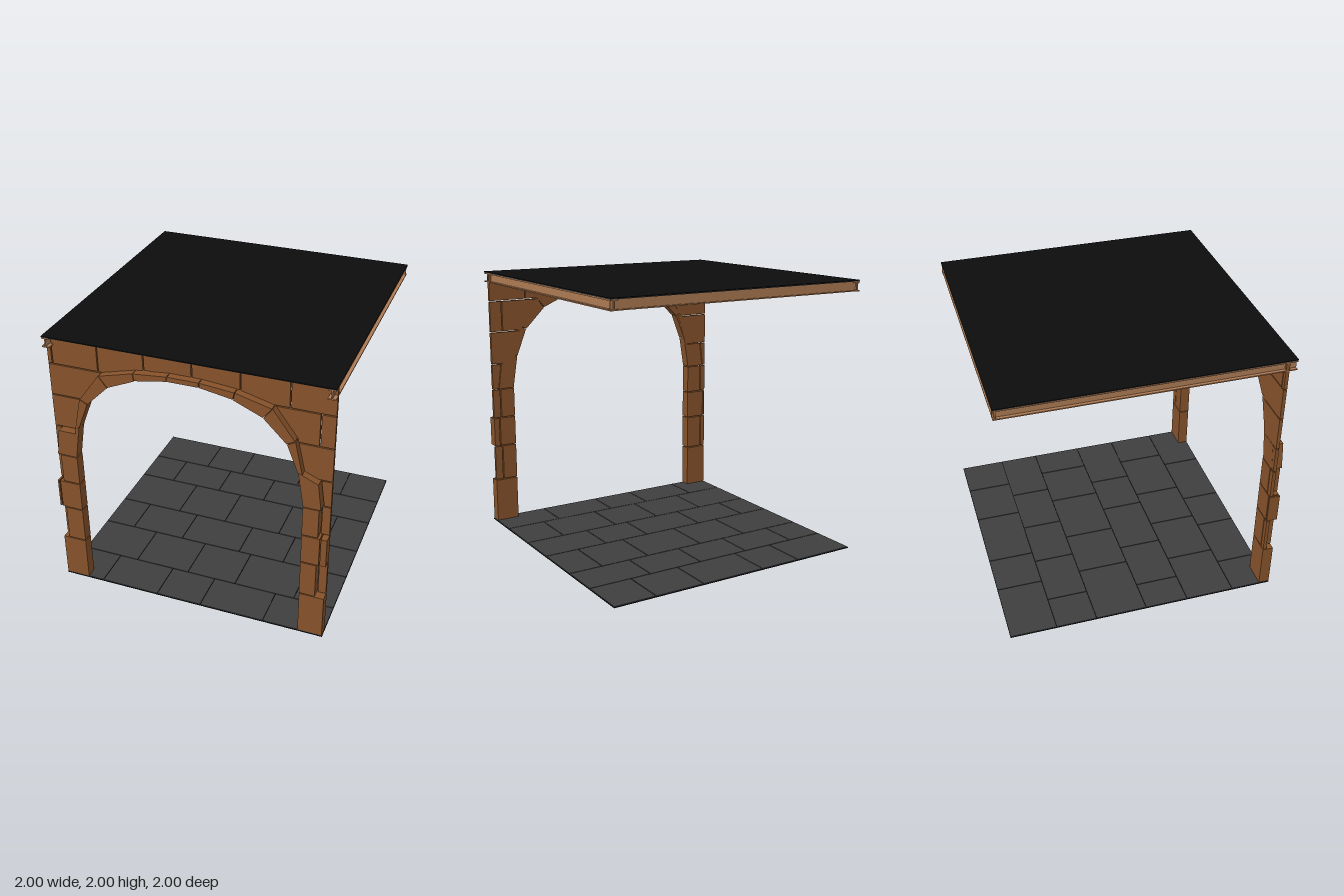
import * as THREE from 'three';

const mat = (name, color) => {
  const m = new THREE.MeshStandardMaterial({ color });
  m.name = name;
  return m;
};

export function createModel() {
  const stoneBrown = mat('stoneBrown', 0x87532b);
  const beamTan = mat('beamTan', 0xad7a53);
  const tileGrey = mat('tileGrey', 0x3f3f3f);
  const slabBlack = mat('slabBlack', 0x0d0d0d);
  const model = new THREE.Group();
  model.name = 'archBay';

  const group = (name) => {
    const g = new THREE.Group();
    g.name = name;
    model.add(g);
    return g;
  };
  const box = (parent, name, m, x0, x1, y0, y1, z0, z1) => {
    const mesh = new THREE.Mesh(new THREE.BoxGeometry(x1 - x0, y1 - y0, z1 - z0), m);
    mesh.position.set((x0 + x1) / 2, (y0 + y1) / 2, (z0 + z1) / 2);
    mesh.name = name;
    parent.add(mesh);
  };
  // Prism from an outline in x and y, running from z0 to z1
  const prism = (parent, name, m, pts, z0, z1) => {
    const shape = new THREE.Shape(pts.map(([x, y]) => new THREE.Vector2(x, y)));
    const geo = new THREE.ExtrudeGeometry(shape, { depth: z1 - z0, bevelEnabled: false });
    geo.translate(0, 0, z0);
    const mesh = new THREE.Mesh(geo, m);
    mesh.name = name;
    parent.add(mesh);
  };
  // Stone outline pulled in slightly, leaving an open joint all round
  const stone = (parent, name, pts, z0, z1, gap = 0.004) => {
    const cx = pts.reduce((s, p) => s + p[0], 0) / pts.length;
    const cy = pts.reduce((s, p) => s + p[1], 0) / pts.length;
    const inset = pts.map(([x, y]) => [x - Math.sign(x - cx) * gap, y - Math.sign(y - cy) * gap]);
    prism(parent, name, stoneBrown, inset, z0, z1);
  };
  const rect = (x0, x1, y0, y1) => [[x0, y0], [x1, y0], [x1, y1], [x0, y1]];

  // Floor and roof: black slab with grey paving on the inner side
  const rows = [
    [-1, -0.66, [-1, -0.52, -0.2, 0.3, 0.68, 1]],
    [-0.66, -0.36, [-1, -0.72, -0.3, 0.1, 0.52, 1]],
    [-0.36, 0.02, [-1, -0.5, -0.1, 0.36, 0.74, 1]],
    [0.02, 0.34, [-1, -0.76, -0.34, 0.14, 0.5, 1]],
    [0.34, 0.7, [-1, -0.56, -0.14, 0.24, 0.7, 1]],
    [0.7, 1, [-1, -0.7, -0.26, 0.08, 0.56, 1]],
  ];
  const paving = (parent, y0, y1) => {
    const g = 0.003;
    for (const [z0, z1, xs] of rows)
      for (let i = 0; i < xs.length - 1; i++)
        box(parent, 'pavingTile', tileGrey, xs[i] + g, xs[i + 1] - g, y0, y1, z0 + g, z1 - g);
  };
  const floor = group('floor');
  box(floor, 'floorSlab', slabBlack, -1, 1, 0, 0.005, -1, 1);
  paving(floor, 0.005, 0.01);
  const roof = group('roof');
  box(roof, 'roofSlab', slabBlack, -1, 1, 1.995, 2, -1, 1);
  paving(roof, 1.99, 1.995);

  // Flanged beams under the two sides and the back of the roof
  const beams = group('roofBeams');
  const [bottom, top, t] = [1.92, 1.99, 0.008];
  for (const s of [-1, 1]) {
    const [a, b] = s < 0 ? [-0.999, -0.945] : [0.945, 0.999];
    const m = (a + b) / 2;
    prism(beams, 'sideBeam', beamTan, [
      [a, bottom], [b, bottom], [b, bottom + t], [m + t / 2, bottom + t],
      [m + t / 2, top - t], [b, top - t], [b, top], [a, top],
      [a, top - t], [m - t / 2, top - t], [m - t / 2, bottom + t], [a, bottom + t],
    ], -0.999, 0.999);
  }
  box(beams, 'backBeamWeb', beamTan, -0.995, 0.995, bottom + t, top, -0.988, -0.978);
  box(beams, 'backBeamFlange', beamTan, -0.995, 0.995, bottom + 0.001, bottom + t + 0.001, -0.998, -0.945);

  // Pillars: thick inner stones and narrow outer fillers
  const back = 0.92, front = 0.999, shallow = 0.945;
  const pillars = group('pillars');
  const courses = [
    [0.008, 0.35, 0, 0], [0.35, 0.626, 0.955, 0.935],
    [0.626, 0.855, 0.98, 0.95], [0.855, 1.084, 0.95, 0.935],
  ];
  courses.forEach(([y0, y1, left, right], i) => {
    for (const [s, split] of [[-1, left], [1, right]]) {
      const block = (name, a, b, z) =>
        stone(pillars, name, rect(Math.min(s * a, s * b), Math.max(s * a, s * b), y0, y1), back, z);
      block('pillarStone', 0.816, split || 1, front);
      if (split) block('pillarFiller', split, 1, i === 2 ? front : shallow);
    }
  });

  // Arch ring: wedge stones between an inner and an outer half profile, mirrored
  const ring = group('archRing');
  const half = [
    [[-0.82, 1.084], [-0.97, 1.084]],
    [[-0.78, 1.34], [-0.81, 1.33]],
    [[-0.70, 1.54], [-0.755, 1.57]],
    [[-0.54, 1.70], [-0.60, 1.78]],
    [[-0.34, 1.79], [-0.35, 1.845]],
    [[-0.11, 1.83], [-0.11, 1.868]],
  ];
  const flip = ([x, y]) => [-x, y];
  const joints = [...half, ...half.slice().reverse().map(([p, q]) => [flip(p), flip(q)])];
  for (let i = 0; i < joints.length - 1; i++) {
    const [p0, q0] = joints[i], [p1, q1] = joints[i + 1];
    const pts = [p0, p1, q1, q0];
    // The springing stones keep a wide outer shoulder
    if (i === 0) pts.splice(3, 0, [-0.81, 1.284], [-0.945, 1.284]);
    if (i === joints.length - 2) pts.splice(3, 0, [0.92, 1.284]), pts.splice(3, 0), pts.splice(2, 1, [0.945, 1.084]), pts.splice(4, 1, q0);
    stone(ring, 'wedgeStone', pts, back + 0.002, front, 0.002);
  }

  // Set-back wall stones around the arch
  const wall = group('wallStones');
  [
    [[-1, 1.084], [-0.97, 1.084], [-0.945, 1.284], [-1, 1.284]],
    [[0.945, 1.084], [1, 1.084], [1, 1.284], [0.92, 1.284]],
    [[-1, 1.284], [-0.79, 1.284], [-0.72, 1.535], [-1, 1.535]],
    [[0.81, 1.284], [1, 1.284], [1, 1.535], [0.74, 1.535]],
    [[-1, 1.535], [-0.74, 1.535], [-0.6, 1.775], [-1, 1.775]],
    [[0.74, 1.535], [0.9, 1.535], [0.9, 1.775], [0.57, 1.775]],
    rect(0.9, 1, 1.535, 1.775),
    rect(-1, -0.965, 1.775, 1.992),
    rect(-0.965, -0.627, 1.775, 1.992),
    [[-0.627, 1.775], [-0.56, 1.775], [-0.295, 1.845], [-0.295, 1.992], [-0.627, 1.992]],
    rect(-0.295, 0.04, 1.85, 1.992),
    [[0.04, 1.85], [0.37, 1.79], [0.37, 1.992], [0.04, 1.992]],
    [[0.37, 1.79], [0.57, 1.775], [0.7, 1.775], [0.7, 1.992], [0.37, 1.992]],
    rect(0.7, 1, 1.775, 1.992),
  ].forEach((pts) => stone(wall, 'wallStone', pts, back, shallow));

  return model;
}
